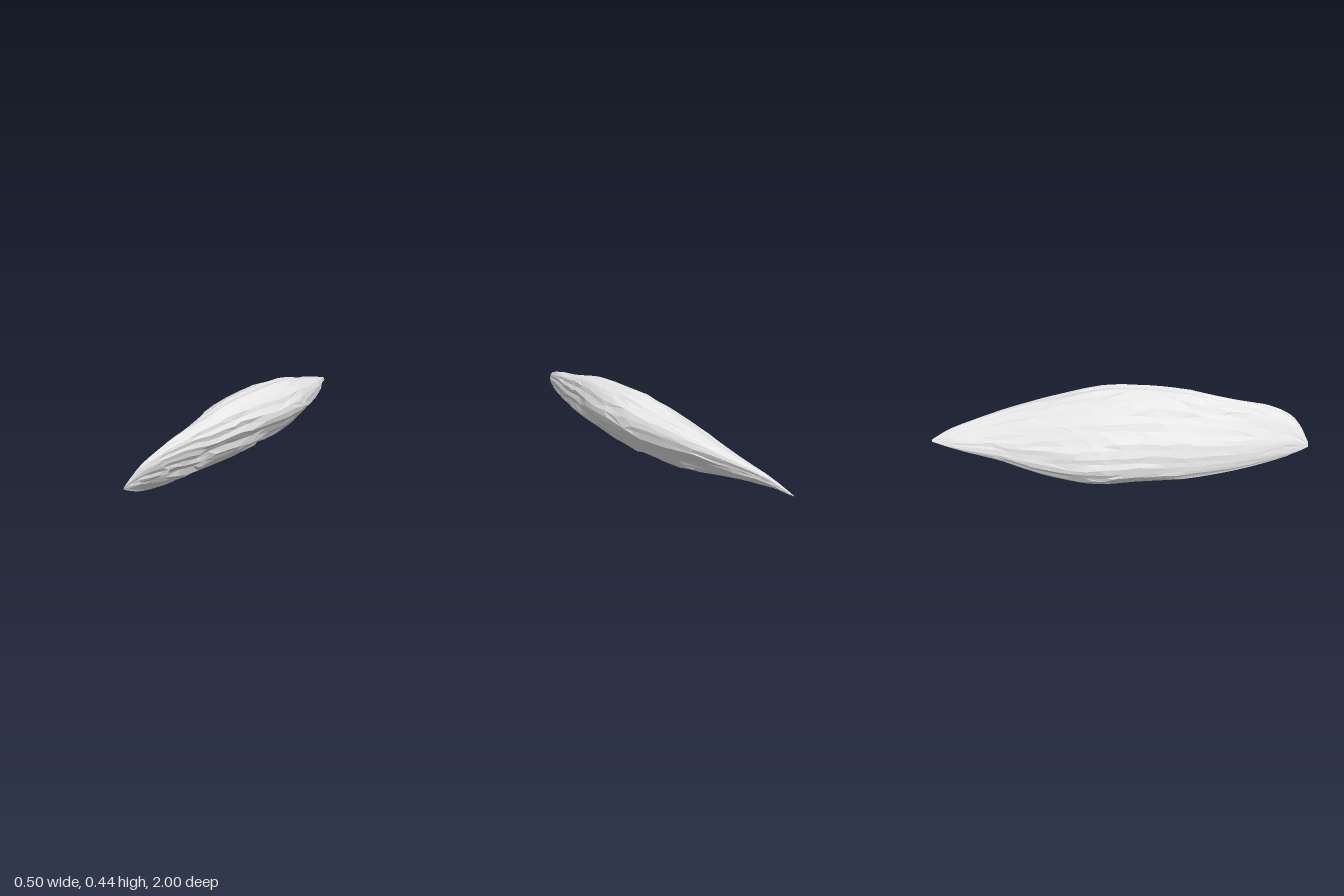
import * as THREE from 'three';

// Cross-sections along z: [z, xMin, xMax, yMin, yMax, phase]; a small phase gives a thin, tilted lens.
const SECTIONS = [
  [-1.0, -0.125, -0.115, 0.14, 0.15, 0.4],
  [-0.93, -0.142, -0.075, 0.13, 0.19, 0.42],
  [-0.84, -0.16, -0.035, 0.118, 0.225, 0.5],
  [-0.6, -0.178, 0.078, 0.076, 0.298, 0.7],
  [-0.36, -0.214, 0.155, 0.02, 0.36, 0.82],
  [-0.1, -0.232, 0.215, -0.008, 0.417, 0.86],
  [0.14, -0.192, 0.219, 0.007, 0.432, 0.86],
  [0.36, -0.144, 0.194, 0.023, 0.428, 0.81],
  [0.58, -0.075, 0.17, 0.056, 0.396, 0.71],
  [0.75, -0.022, 0.15, 0.095, 0.38, 0.6],
  [0.88, 0.01, 0.128, 0.138, 0.348, 0.5],
  [0.95, 0.022, 0.09, 0.17, 0.3, 0.42],
  [1.0, 0.03, 0.04, 0.2, 0.22, 0.35],
];
const ROWS = 34;
const SIDES = 44;

// Repeatable value in 0..1 for a pair of integers
function hash(a, b) {
  const s = Math.sin(a * 127.1 + b * 311.7) * 43758.5453;
  return s - Math.floor(s);
}

// Smooth interpolation between the cross-sections, u in 0..1
function sectionAt(u) {
  const f = Math.min(Math.max(u, 0), 1) * (SECTIONS.length - 1);
  const i = Math.min(Math.floor(f), SECTIONS.length - 2);
  const t = f - i;
  const at = (k) => SECTIONS[Math.min(Math.max(k, 0), SECTIONS.length - 1)];
  return at(i).map((p1, c) => {
    const p0 = at(i - 1)[c], p2 = at(i + 1)[c], p3 = at(i + 2)[c];
    return p1 + 0.5 * t * (p2 - p0 + t * (2 * p0 - 5 * p1 + 4 * p2 - p3 + t * (3 * (p1 - p2) + p3 - p0)));
  });
}

// One surface point, with long chipped streaks that are rougher on the underside
function rockPoint(i, j) {
  const end = i === 0 || i === ROWS;
  const shift = end ? 0 : (hash(i, j) - 0.5) * 0.9;
  const [z, x0, x1, y0, y1, phase] = sectionAt((i + shift) / ROWS);
  const angle = ((j + (hash(j, i + 50) - 0.5) * 0.5) / SIDES) * Math.PI * 2;
  const along = Math.cos(angle - phase / 2);
  const across = Math.sin(angle - phase / 2);
  const under = Math.max(0, -across);
  const run = Math.floor(i / 5 + hash(j, 7) * 5);
  const streak = end ? 0 : hash(j, run + 90) - 0.5;
  const size = 1 + streak * (0.03 + 0.05 * under);
  // Fuller upper face, and an underside that swells towards its high edge
  const thickness = ((y1 - y0) * Math.sin(phase)) / 0.32;
  const swell = across > 0 ? 0.022 - 0.01 * along : 0.065 * along;
  const rough = streak * (0.01 + 0.016 * under) * Math.min(1, 0.2 + thickness);
  const push = across * (swell * thickness + rough) * Math.SQRT1_2;
  return [
    (x0 + x1) / 2 + ((x1 - x0) / 2) * Math.cos(angle) * size - push,
    (y0 + y1) / 2 + ((y1 - y0) / 2) * Math.cos(angle - phase) * size + push,
    z,
  ];
}

export function createModel() {
  const group = new THREE.Group();
  group.name = 'rockShard';
  const stone = new THREE.MeshStandardMaterial({ color: 0xe7e7e7, flatShading: true });
  stone.name = 'pale grey stone';

  // Loft skin
  const positions = [];
  const index = [];
  for (let i = 0; i <= ROWS; i++) {
    for (let j = 0; j < SIDES; j++) positions.push(...rockPoint(i, j));
  }
  for (let i = 0; i < ROWS; i++) {
    for (let j = 0; j < SIDES; j++) {
      const k = (j + 1) % SIDES;
      const a = i * SIDES + j, b = i * SIDES + k, c = a + SIDES, d = b + SIDES;
      if (hash(i + 13, j) > 0.5) index.push(a, b, d, a, d, c);
      else index.push(a, b, c, b, d, c);
    }
  }

  // Close both tips
  [0, ROWS].forEach((row) => {
    const s = sectionAt(row / ROWS);
    const centre = positions.length / 3;
    positions.push((s[1] + s[2]) / 2, (s[3] + s[4]) / 2, s[0]);
    for (let j = 0; j < SIDES; j++) {
      const a = row * SIDES + j, b = row * SIDES + ((j + 1) % SIDES);
      if (row === 0) index.push(centre, b, a);
      else index.push(centre, a, b);
    }
  });

  const skin = new THREE.BufferGeometry();
  skin.setAttribute('position', new THREE.Float32BufferAttribute(positions, 3));
  skin.setIndex(index);
  const geometry = skin.toNonIndexed();
  geometry.computeVertexNormals();

  // Rest the stone on the ground
  geometry.computeBoundingBox();
  geometry.translate(0, -geometry.boundingBox.min.y, 0);

  const rock = new THREE.Mesh(geometry, stone);
  rock.name = 'rock';
  group.add(rock);
  return group;
}
